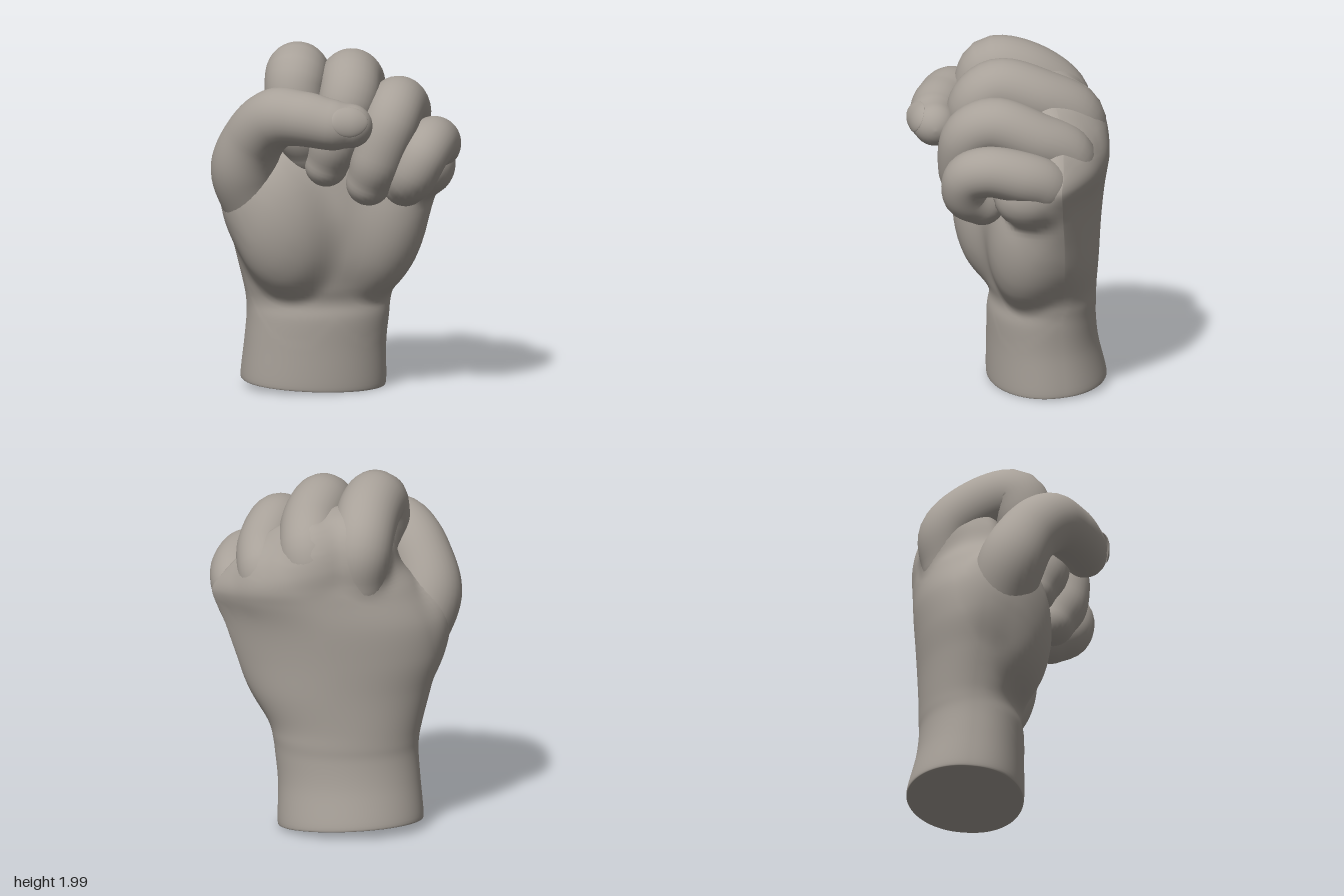
import * as THREE from 'three';

const V = (x, y, z) => new THREE.Vector3(x, y, z);
const ease = (t) => THREE.MathUtils.smoothstep(t, 0, 1);
const SIDES = 32;

// Skin a stack of closed rings, closing both ends
function loft(rings) {
  const n = rings[0].length;
  const points = rings.flat();
  const index = [];
  for (let i = 0; i < rings.length - 1; i++) {
    for (let j = 0; j < n; j++) {
      const a = i * n + j, b = i * n + (j + 1) % n;
      index.push(a, b, a + n, b, b + n, a + n);
    }
  }
  const middle = (ring) => ring.reduce((s, p) => s.add(p), V(0, 0, 0)).divideScalar(n);
  // far end shares its ring for a smooth close; near end gets its own for a sharp cut
  const last = (rings.length - 1) * n;
  const start = points.length;
  points.push(...rings[0], middle(rings[0]), middle(rings[rings.length - 1]));
  for (let j = 0; j < n; j++) {
    const k = (j + 1) % n;
    index.push(start + k, start + j, start + n);
    index.push(last + j, last + k, start + n + 1);
  }
  const geometry = new THREE.BufferGeometry().setFromPoints(points);
  geometry.setIndex(index);
  geometry.computeVertexNormals();
  return geometry;
}

// Tapered digit along a curve of [x, y, z, radius], with a domed tip
function digit(path) {
  const curve = new THREE.CatmullRomCurve3(path.map(([x, y, z]) => V(x, y, z)));
  const steps = 48;
  const frames = curve.computeFrenetFrames(steps, false);
  const rings = [];
  const ring = (centre, i, r) => rings.push(Array.from({ length: SIDES }, (_, j) => {
    const a = (j / SIDES) * Math.PI * 2;
    return centre.clone()
      .addScaledVector(frames.normals[i], Math.cos(a) * r)
      .addScaledVector(frames.binormals[i], Math.sin(a) * r);
  }));
  for (let i = 0; i <= steps; i++) {
    const t = curve.getUtoTmapping(i / steps) * (path.length - 1);
    const k = Math.min(Math.floor(t), path.length - 2);
    ring(curve.getPointAt(i / steps), i, THREE.MathUtils.lerp(path[k][3], path[k + 1][3], ease(t - k)));
  }
  const tip = curve.getPointAt(1), r = path[path.length - 1][3];
  for (let i = 1; i <= 8; i++) {
    const a = (i / 8.3) * Math.PI / 2;
    ring(tip.clone().addScaledVector(frames.tangents[steps], Math.sin(a) * r), steps, Math.cos(a) * r);
  }
  return loft(rings);
}

// Fleshy pads and knuckles that swell the palm: centre, radii, tilt about z
const PADS = [
  [V(-0.29, 0.98, 0), V(0.29, 0.43, 0.235), 0.2], // thumb pad
  [V(-0.44, 1.08, -0.07), V(0.19, 0.32, 0.2), 0.3], // thumb root
  [V(0.25, 0.94, -0.06), V(0.27, 0.42, 0.24), -0.25], // heel
  [V(0.5, 1.3, 0.02), V(0.18, 0.19, 0.21), 0], // little finger edge
  [V(-0.13, 1.58, -0.33), V(0.16, 0.25, 0.165), 0], // knuckles
  [V(0.13, 1.56, -0.34), V(0.16, 0.25, 0.165), 0],
  [V(0.38, 1.43, -0.23), V(0.15, 0.2, 0.15), 0],
];

// Approximate distance from a point to a pad
function padDistance(point, [centre, radii, tilt]) {
  const q = point.clone().sub(centre).applyAxisAngle(V(0, 0, 1), -tilt).divide(radii);
  const k = q.length();
  return (k * (k - 1)) / (q.divide(radii).length() + 1e-6);
}

function blend(a, b, k) {
  const h = Math.max(k - Math.abs(a - b), 0) / k;
  return Math.min(a, b) - h * h * k / 4;
}

// Wrist and palm: y, centre x, half width, centre z, depth behind, depth in front
function palmGeometry() {
  const sections = [
    [0.0, -0.08, 0.395, -0.24, 0.315, 0.315],
    [0.025, -0.08, 0.41, -0.24, 0.33, 0.33],
    [0.25, -0.073, 0.4, -0.22, 0.3, 0.31],
    [0.42, -0.06, 0.402, -0.21, 0.29, 0.3],
    [0.52, -0.055, 0.41, -0.21, 0.29, 0.285],
    [0.62, -0.05, 0.435, -0.2, 0.3, 0.3],
    [0.8, -0.022, 0.51, -0.18, 0.325, 0.32],
    [1.0, -0.01, 0.575, -0.16, 0.355, 0.32],
    [1.2, 0.03, 0.605, -0.13, 0.395, 0.27],
    [1.35, 0.11, 0.58, -0.11, 0.415, 0.22],
    [1.45, 0.16, 0.53, -0.11, 0.415, 0.18],
    [1.55, 0.16, 0.49, -0.13, 0.39, 0.16],
    [1.65, 0.15, 0.43, -0.15, 0.34, 0.14],
    [1.73, 0.13, 0.35, -0.17, 0.265, 0.12],
    [1.79, 0.12, 0.24, -0.18, 0.18, 0.09],
    [1.82, 0.12, 0.1, -0.18, 0.07, 0.04],
  ];
  const spline = (from) => new THREE.CatmullRomCurve3(
    sections.map((s) => V(...s.slice(from, from + 3))), false, 'catmullrom');
  const plan = spline(0), depth = spline(3);
  const count = 100, around = 112;
  const rings = [];
  for (let i = 0; i <= count; i++) {
    const { x: y, y: cx, z: rx } = plan.getPoint(i / count);
    const { x: cz, y: back, z: front } = depth.getPoint(i / count);
    const cut = Math.max(0, 1 - y / 0.5);
    const slope = ease((y - 1.2) / 0.55) * 0.3;
    // the back of the hand falls away towards the little finger
    const fall = 1 + 0.8 * ease((y - 0.5) / 0.7);
    rings.push(Array.from({ length: around }, (_, j) => {
      const a = (j / around) * Math.PI * 2, c = Math.cos(a), s = Math.sin(a);
      const rear = -back * Math.abs(c) ** (s > 0 ? fall : 1);
      const out = V(s * rx, 0, c > 0 ? c ** 0.85 * front : rear);
      const reach = out.length();
      out.normalize();
      // slanted cut at the wrist, knuckle line falling to the little finger
      const at = (rho) => {
        const x = cx + out.x * rho, z = cz + out.z * rho;
        return V(x, y + cut * ((0.33 - x) * 0.045 + (0.09 - z) * 0.06) - slope * (x - 0.1), z);
      };
      // walk inwards until the blended flesh is met
      let rho = 1;
      for (let step = 0; step < 40; step++) {
        const p = at(rho);
        const d = PADS.reduce((m, pad) => blend(m, padDistance(p, pad), 0.06), rho - reach);
        if (d < 0.001) break;
        rho -= d * 0.9;
      }
      return at(rho);
    }));
  }
  return loft(rings);
}

// Thin nail plate wrapped around the thumb tip
function nailGeometry() {
  const geometry = new THREE.SphereGeometry(1, 32, 24).scale(0.105, 0.095, 0.008);
  const p = geometry.attributes.position;
  for (let i = 0; i < p.count; i++) {
    const x = p.getX(i), a = p.getY(i) / 0.139;
    const r = 0.137 + p.getZ(i) - 2.2 * Math.max(x, 0) ** 2;
    p.setXYZ(i, x, Math.sin(a) * r, Math.cos(a) * r);
  }
  geometry.computeVertexNormals();
  return geometry;
}

export function createModel() {
  const hand = new THREE.Group();
  hand.name = 'fist';
  const skin = new THREE.MeshStandardMaterial({ color: 0xa8a199 });
  skin.name = 'warm grey clay';

  const add = (name, geometry) => {
    const mesh = new THREE.Mesh(geometry, skin);
    mesh.name = name;
    hand.add(mesh);
    return mesh;
  };

  add('palmAndWrist', palmGeometry());

  // Curled fingers: hand bone, knuckle, middle joint, end joint, tip
  const fingers = {
    indexFinger: [
      [-0.11, 1.2, -0.28, 0.13], [-0.12, 1.45, -0.325, 0.16], [-0.14, 1.65, -0.33, 0.172],
      [-0.18, 1.795, -0.14, 0.178], [-0.23, 1.825, 0.03, 0.175], [-0.25, 1.73, 0.08, 0.168],
      [-0.21, 1.52, 0.08, 0.15], [-0.17, 1.4, 0.04, 0.13],
    ],
    middleFinger: [
      [0.12, 1.2, -0.29, 0.13], [0.13, 1.43, -0.33, 0.16], [0.15, 1.61, -0.34, 0.172],
      [0.14, 1.735, -0.14, 0.172], [0.07, 1.795, 0.08, 0.173], [0.04, 1.72, 0.185, 0.17],
      [-0.04, 1.48, 0.2, 0.148], [-0.08, 1.33, 0.15, 0.122],
    ],
    ringFinger: [
      [0.34, 1.15, -0.18, 0.12], [0.38, 1.33, -0.21, 0.145], [0.4, 1.47, -0.235, 0.155],
      [0.4, 1.58, -0.05, 0.157], [0.32, 1.665, 0.18, 0.16], [0.26, 1.6, 0.3, 0.157],
      [0.18, 1.38, 0.315, 0.147], [0.14, 1.24, 0.26, 0.128],
    ],
    littleFinger: [
      [0.46, 1.2, -0.08, 0.11], [0.53, 1.3, -0.08, 0.13], [0.56, 1.37, -0.04, 0.143],
      [0.555, 1.42, 0.08, 0.148], [0.5, 1.455, 0.26, 0.143], [0.435, 1.41, 0.36, 0.14],
      [0.375, 1.29, 0.355, 0.135], [0.35, 1.23, 0.26, 0.13],
    ],
  };
  for (const [name, path] of Object.entries(fingers)) add(name, digit(path));

  // Thumb folded across the fingers
  add('thumb', digit([
    [-0.34, 0.85, -0.08, 0.12], [-0.44, 1.07, -0.06, 0.18], [-0.52, 1.3, 0.0, 0.19],
    [-0.475, 1.5, 0.1, 0.175], [-0.38, 1.62, 0.22, 0.172], [-0.25, 1.63, 0.33, 0.155],
    [-0.1, 1.605, 0.41, 0.145], [0.0, 1.6, 0.435, 0.125],
  ]));
  const nail = add('thumbNail', nailGeometry());
  nail.position.set(-0.025, 1.6, 0.43);
  nail.rotation.x = -0.37;

  return hand;
}
